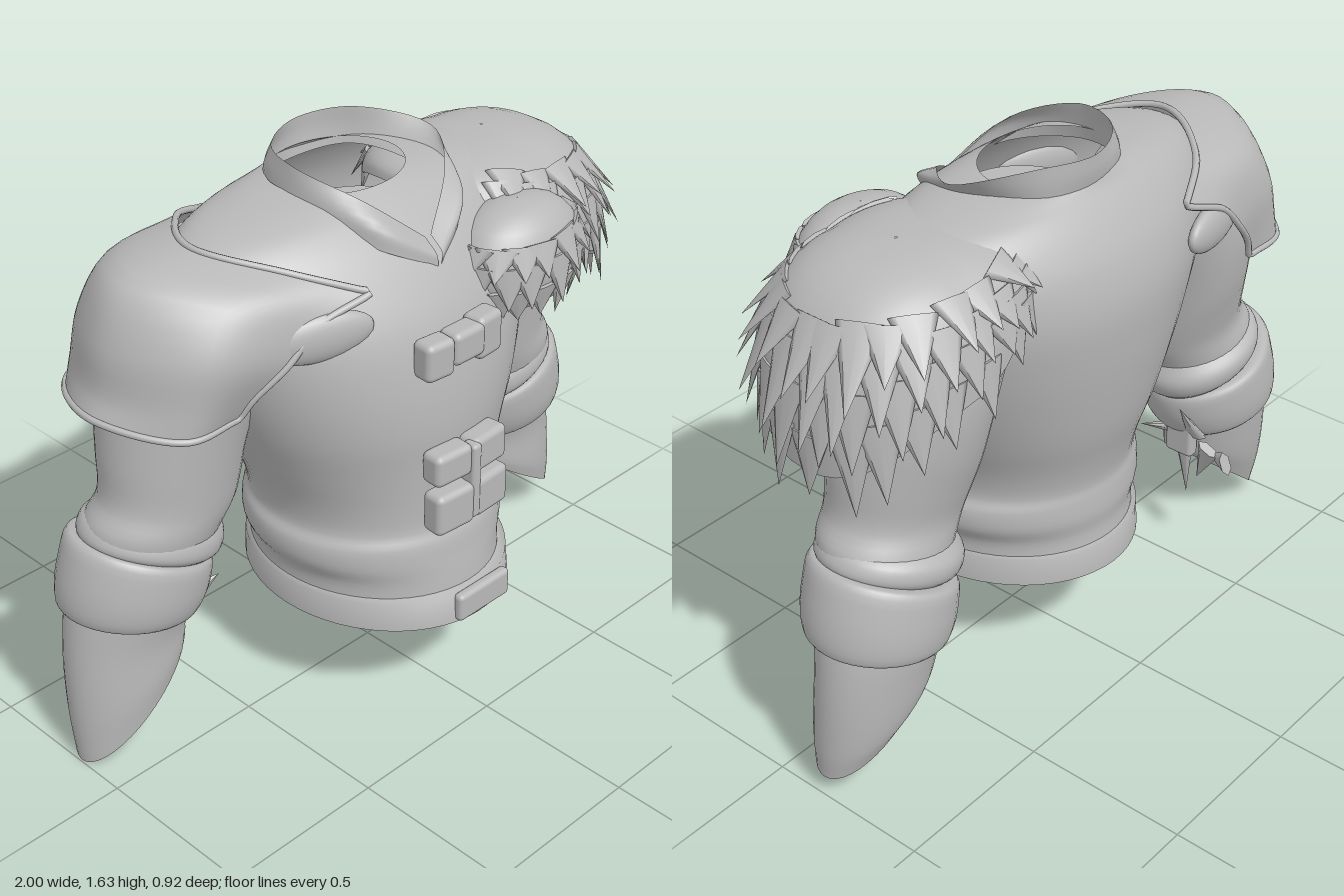
import * as THREE from 'three';
import { mergeGeometries } from 'three/addons/utils/BufferGeometryUtils.js';
import { RoundedBoxGeometry } from 'three/addons/geometries/RoundedBoxGeometry.js';

const V = (x, y, z) => new THREE.Vector3(x, y, z);
const pts = list => list.map(p => V(...p));

// Oval loop through an inner and an outer point, with front and back depth
function ring([xi, yi], [xo, yo], zf, zb, n = 40) {
  return Array.from({ length: n }, (_, k) => {
    const a = k / n * Math.PI * 2, c = Math.cos(a) / 2;
    return V((xi + xo) / 2 + c * (xo - xi), (yi + yo) / 2 + c * (yo - yi), (zf + zb) / 2 + Math.sin(a) * (zf - zb) / 2);
  });
}

// Smooth skin over rows of points
function skin(rows, closed = true, steps = 4) {
  const cols = rows[0].length, count = (rows.length - 1) * steps + 1;
  const curves = rows[0].map((_, c) => new THREE.CatmullRomCurve3(rows.map(r => r[c])));
  const pos = [], idx = [];
  for (let r = 0; r < count; r++) for (const curve of curves) pos.push(...curve.getPoint(r / (count - 1)).toArray());
  for (let r = 0; r < count - 1; r++) for (let c = 0; c < (closed ? cols : cols - 1); c++) {
    const d = (c + 1) % cols, a = r * cols + c, b = r * cols + d;
    idx.push(a, a + cols, b, b, a + cols, b + cols);
  }
  const g = new THREE.BufferGeometry();
  g.setAttribute('position', new THREE.Float32BufferAttribute(pos, 3));
  g.setIndex(idx);
  g.computeVertexNormals();
  return g;
}

const smoothLine = (list, n = 32) => new THREE.CatmullRomCurve3(pts(list)).getPoints(n);
const softPow = (v, p) => Math.sign(v) * Math.pow(Math.abs(v), p);

function seeded(s) {
  return () => (s = (s * 16807) % 2147483647) / 2147483647;
}

// Flat pointed tufts laid downhill over a surface P(angle, t); a size of 0 leaves a gap
function tufts(P, rows, count, size, seed) {
  const rnd = seeded(seed), parts = [];
  rows.forEach((t, r) => {
    for (let k = 0; k < count; k++) {
      const a = (k + (r % 2) / 2 + rnd() * 0.4) / count * Math.PI * 2;
      const len = size(a) * (0.8 + rnd() * 0.45);
      if (!len) continue;
      const p = P(a, t), down = P(a, t + 0.02).sub(P(a, t - 0.02)).normalize();
      const side = P(a + 0.02, t).sub(P(a - 0.02, t)).normalize();
      const out = side.clone().cross(down).normalize();
      const g = new THREE.ConeGeometry(0.065, len, 8);
      g.scale(1, 1, 0.2);
      g.translate(0, len * 0.25, 0);
      g.rotateX(0.17);
      side.crossVectors(down, out);
      g.applyMatrix4(new THREE.Matrix4().makeBasis(side, down, out).setPosition(p));
      parts.push(g);
    }
  });
  return mergeGeometries(parts);
}

export function createModel() {
  const model = new THREE.Group();
  const grey = new THREE.MeshStandardMaterial({ color: 0xb8b8b8, side: THREE.DoubleSide });
  grey.name = 'grey';
  const add = (name, geometry, parent = model) => {
    const m = new THREE.Mesh(geometry, grey);
    m.name = name;
    parent.add(m);
    return m;
  };

  // Jacket body: y, half width, front z, back z
  const level = ([y, w, zf, zb]) => ring([-w, y], [w, y], zf, zb, 56);
  add('jacketBody', skin([
    [0.38, 0.35, 0.42, -0.375], [0.46, 0.35, 0.41, -0.365], [0.52, 0.38, 0.40, -0.37], [0.58, 0.38, 0.39, -0.365],
    [0.62, 0.36, 0.375, -0.36], [0.7, 0.37, 0.37, -0.375], [0.82, 0.42, 0.37, -0.41], [0.95, 0.48, 0.375, -0.435],
    [1.1, 0.54, 0.36, -0.455], [1.25, 0.59, 0.32, -0.46], [1.37, 0.61, 0.25, -0.43], [1.45, 0.59, 0.185, -0.385],
    [1.5, 0.52, 0.13, -0.345], [1.53, 0.38, 0.09, -0.315], [1.555, 0.21, 0.05, -0.3],
  ].map(level)));

  // Belt with its front clasp
  add('belt', skin([
    [0.33, 0.365, 0.455, -0.39], [0.415, 0.362, 0.445, -0.385], [0.425, 0.335, 0.41, -0.36],
  ].map(level), true, 1));
  add('beltClasp', new RoundedBoxGeometry(0.21, 0.09, 0.035, 3, 0.015)).position.set(0.02, 0.378, 0.445);

  // Collar, overlapping in a V at the front
  const collarRows = [
    [[0.02, 1.37, 0.25], [-0.14, 1.45, 0.175], [-0.22, 1.51, -0.06], [-0.16, 1.52, -0.25], [0.02, 1.52, -0.3],
      [0.19, 1.52, -0.25], [0.25, 1.5, -0.07], [0.19, 1.45, 0.165], [0.03, 1.37, 0.25]],
    [[0.02, 1.4, 0.245], [-0.14, 1.51, 0.165], [-0.21, 1.57, -0.06], [-0.16, 1.58, -0.24], [0.03, 1.58, -0.31],
      [0.2, 1.58, -0.25], [0.3, 1.55, -0.07], [0.22, 1.5, 0.15], [0.04, 1.4, 0.245]],
    [[0.02, 1.44, 0.2], [-0.12, 1.56, 0.11], [-0.2, 1.625, -0.07], [-0.15, 1.63, -0.22], [0.03, 1.63, -0.31],
      [0.2, 1.63, -0.25], [0.335, 1.585, -0.08], [0.22, 1.54, 0.08], [0.04, 1.44, 0.2]],
  ].map(r => smoothLine(r, 48));
  add('collar', skin(collarRows, false));
  const lining = add('neckLining', new THREE.CircleGeometry(0.19, 32));
  lining.rotation.x = -Math.PI / 2;
  lining.position.set(0.02, 1.42, -0.05);

  // Chest buckles: x, y, z, width, height
  for (const [x, y, z, w, h] of [
    [-0.11, 1.185, 0.36, 0.1, 0.115], [-0.005, 1.195, 0.365, 0.12, 0.1], [0.08, 1.19, 0.36, 0.1, 0.13],
    [-0.085, 0.855, 0.395, 0.135, 0.1], [0.055, 0.85, 0.395, 0.14, 0.11],
    [-0.085, 0.715, 0.405, 0.14, 0.13], [0.055, 0.715, 0.405, 0.14, 0.125],
  ]) {
    const b = add('chestBuckle', new RoundedBoxGeometry(w, h, 0.075, 3, 0.02));
    b.position.set(x, y, z);
    b.rotation.y = x * 0.9;
  }
  add('buckleStrap', new RoundedBoxGeometry(0.035, 0.24, 0.05, 2, 0.012)).position.set(-0.012, 0.78, 0.42);

  // Sleeves, modelled on the left side and mirrored; the forearms end in open slanted cuts
  for (const side of [1, -1]) {
    const arm = new THREE.Group();
    arm.name = side > 0 ? 'leftArm' : 'rightArm';
    arm.scale.x = side;
    model.add(arm);
    const tip = side > 0 ? 0.06 : 0;
    add('forearm', skin([
      ring([0.615, 0.31], [0.995, tip], -0.05, -0.28), ring([0.61, 0.325], [0.998, 0.15], -0.04, -0.31),
      ring([0.6, 0.37], [0.985, 0.36], -0.04, -0.33), ring([0.575, 0.46], [0.955, 0.52], -0.02, -0.34),
      ring([0.55, 0.58], [0.9, 0.66], 0, -0.32),
    ]), arm);
    add('upperSleeve', skin([
      ring([0.56, 0.55], [0.9, 0.66], 0, -0.32), ring([0.5, 0.67], [0.895, 0.75], 0.03, -0.32),
      ring([0.45, 0.75], [0.85, 0.82], 0.04, -0.31), ring([0.43, 0.81], [0.835, 0.95], 0.05, -0.33),
      ring([0.42, 0.88], [0.81, 1.12], 0.065, -0.36), ring([0.4, 0.98], [0.75, 1.33], 0.09, -0.38),
      ring([0.36, 1.12], [0.6, 1.45], 0.1, -0.37),
    ]), arm);
    add('sleeveFold', skin([
      ring([0.53, 0.55], [0.9, 0.69], 0, -0.32), ring([0.5, 0.575], [0.91, 0.72], 0.03, -0.345),
      ring([0.485, 0.62], [0.89, 0.755], 0.03, -0.345), ring([0.5, 0.68], [0.86, 0.77], 0.01, -0.31),
    ]), arm);
    add('turnedCuff', skin([
      ring([0.61, 0.42], [0.95, 0.51], -0.04, -0.32), ring([0.585, 0.4], [0.98, 0.49], 0, -0.36),
      ring([0.555, 0.44], [0.985, 0.545], 0.025, -0.375), ring([0.535, 0.5], [0.96, 0.65], 0.035, -0.375),
      ring([0.535, 0.555], [0.93, 0.715], 0.03, -0.365), ring([0.57, 0.57], [0.9, 0.71], 0, -0.33),
    ], true, 3), arm);
    const tab = add('cuffTab', new RoundedBoxGeometry(0.045, 0.12, 0.1, 2, 0.015), arm);
    tab.position.set(0.595, 0.385, -0.2);
  }

  // Cloth knot on the right wrist
  for (const [x, y, z, rx, rz, len] of [
    [-0.62, 0.27, -0.2, 0.1, Math.PI, 0.22], [-0.6, 0.31, -0.28, -0.4, 2.9, 0.17], [-0.55, 0.48, -0.25, 0, -0.6, 0.17],
    [-0.56, 0.41, -0.12, 0.5, -1.1, 0.13], [-0.59, 0.36, -0.34, -1.2, 2.6, 0.14],
  ]) {
    const g = new THREE.ConeGeometry(0.04, len, 6);
    g.scale(0.45, 1, 1);
    const m = add('clothKnot', g);
    m.position.set(x, y, z);
    m.rotation.set(rx, 0, rz);
  }

  // Right shoulder plate: rows run from the lower rim to the neck edge, front to back
  const plateRows = [
    [[-0.6, 1.1, 0.12], [-0.77, 1.1, 0.11], [-0.9, 1.13, -0.12], [-0.77, 1.1, -0.38], [-0.6, 1.1, -0.4]],
    [[-0.57, 1.16, 0.15], [-0.75, 1.18, 0.12], [-0.87, 1.19, -0.12], [-0.75, 1.18, -0.38], [-0.57, 1.16, -0.41]],
    [[-0.49, 1.25, 0.2], [-0.71, 1.31, 0.14], [-0.85, 1.32, -0.12], [-0.71, 1.31, -0.38], [-0.49, 1.25, -0.43]],
    [[-0.4, 1.34, 0.22], [-0.62, 1.43, 0.12], [-0.77, 1.475, -0.12], [-0.62, 1.43, -0.36], [-0.4, 1.34, -0.43]],
    [[-0.24, 1.39, 0.25], [-0.41, 1.46, 0.12], [-0.55, 1.505, -0.1], [-0.41, 1.475, -0.32], [-0.24, 1.41, -0.415]],
  ].map(r => smoothLine(r));
  add('shoulderPlate', skin(plateRows, false));
  const last = plateRows[0].length - 1;
  const border = [...plateRows[0], ...plateRows.slice(1, -1).map(r => r[last]), ...[...plateRows[4]].reverse(),
    ...plateRows.slice(1, -1).reverse().map(r => r[0])];
  add('shoulderPlateRim', new THREE.TubeGeometry(new THREE.CatmullRomCurve3(border, true), 140, 0.01, 8, true));
  for (const [z, turn] of [[0.21, -0.35], [-0.41, 0.2]]) {
    const flap = add('shoulderFlap', new THREE.SphereGeometry(1, 28, 16));
    flap.scale.set(0.155, 0.07, 0.035);
    flap.position.set(-0.385, 1.295, z);
    flap.rotation.set(0, turn, 0.05);
  }

  // Left shoulder fur: a broad mantle and a front lobe, both covered in tufts
  const mantle = (a, t) => {
    const c = softPow(Math.cos(a), 0.88), s = softPow(Math.sin(a), 0.88), q = t * Math.PI / 2;
    const out = Math.max(0, c), inn = Math.max(0, -c);
    const hem = 1.2 - 0.2 * out * out + 0.24 * inn;
    const rx = c > 0 ? 0.4 - 0.04 * t ** 4 : 0.35, rz = s > 0 ? 0.33 : 0.32;
    const f = softPow(Math.sin(q), 0.72), h = softPow(Math.cos(q), 0.76);
    return V(0.55 + c * rx * f, hem + (1.52 - hem) * h, -0.08 + s * rz * f);
  };
  const lobe = (a, t) => {
    const q = t * Math.PI * 0.75, s = softPow(Math.sin(q), 0.8);
    return V(0.365 + Math.cos(a) * s * 0.225, 1.285 + Math.cos(q) * 0.165, 0.225 + Math.sin(a) * s * 0.155);
  };
  const shell = P => skin(Array.from({ length: 13 }, (_, r) =>
    Array.from({ length: 48 }, (_, k) => P(k / 48 * Math.PI * 2, 1 - r / 12 * 0.999))), true, 1);
  const fur = new THREE.Group();
  fur.name = 'furMantle';
  model.add(fur);
  add('furBase', shell(mantle), fur);
  add('furTufts', tufts(mantle, [0.55, 0.68, 0.82, 0.95], 22,
    a => Math.cos(a) < -0.6 ? 0 : 0.13 + 0.09 * Math.max(0, Math.cos(a)), 11), fur);
  add('furLobe', shell(lobe), fur);
  add('furLobeTufts', tufts(lobe, [0.5, 0.66, 0.84], 15, () => 0.12, 29), fur);

  return model;
}
